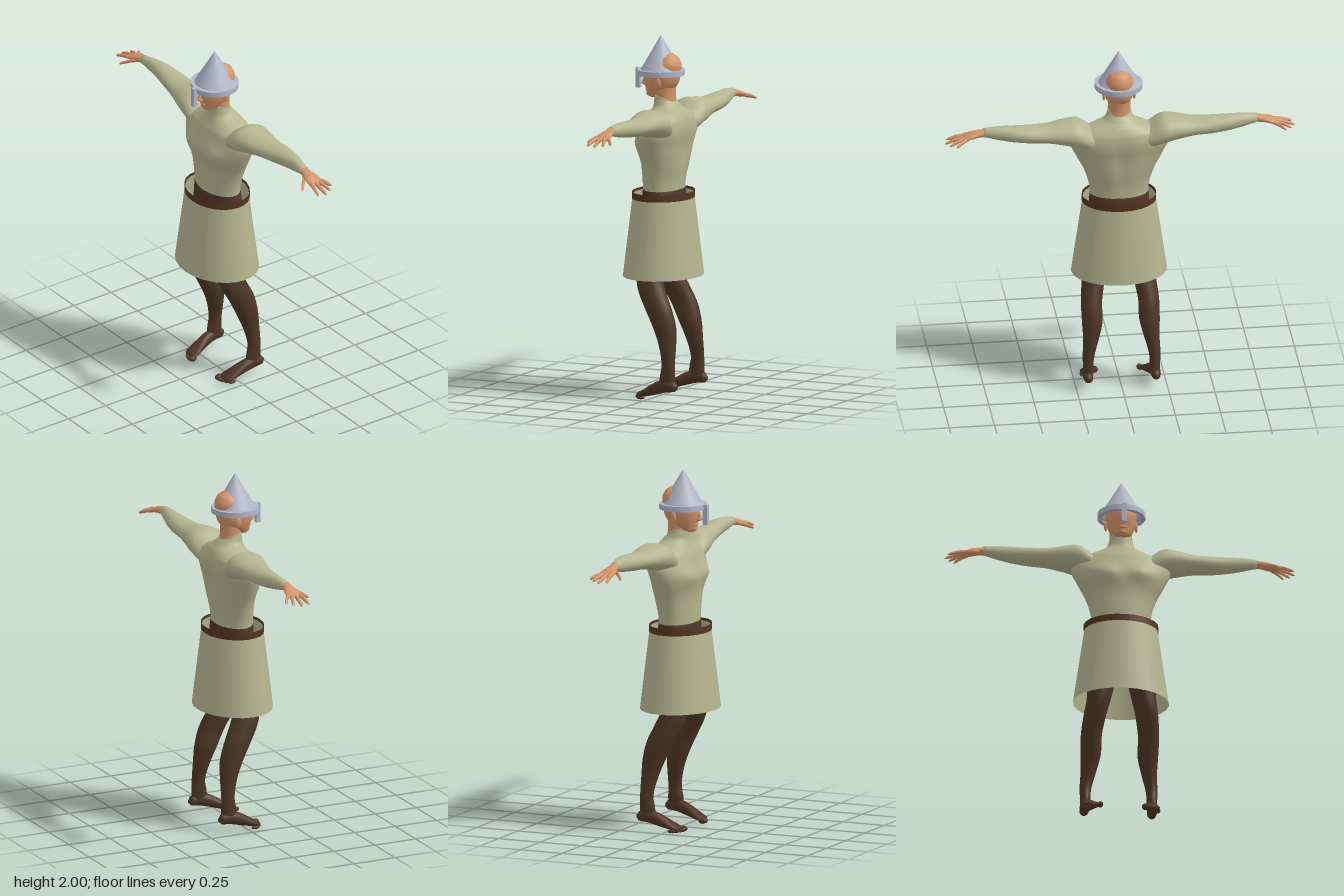
import * as THREE from 'three';

const mat = (name, color, side = THREE.FrontSide) => {
  const m = new THREE.MeshStandardMaterial({ color, side });
  m.name = name;
  return m;
};

// Smooth skin through elliptical sections along axis k (0 x, 1 y, 2 z).
// Row: [position on k, centre on next axis, centre on the one after, radius, radius]
function loft(k, rows, seg = 24, steps = 4, rule = null) {
  const pos = [], index = [];
  const count = (rows.length - 1) * steps;
  const cubic = (a, b, c, d, t) =>
    0.5 * (2 * b + (c - a) * t + (2 * a - 5 * b + 4 * c - d) * t * t + (3 * b - a - 3 * c + d) * t * t * t);
  const put = (a, b, c) => {
    const p = new THREE.Vector3();
    p.setComponent(k, a).setComponent((k + 1) % 3, b).setComponent((k + 2) % 3, c);
    if (rule) rule(p);
    pos.push(p.x, p.y, p.z);
  };
  for (let i = 0; i <= count; i++) {
    const s = Math.min(Math.floor(i / steps), rows.length - 2), t = i / steps - s;
    const at = (n) => rows[Math.max(0, Math.min(rows.length - 1, n))];
    const r = at(s).map((_, j) => cubic(at(s - 1)[j], at(s)[j], at(s + 1)[j], at(s + 2)[j], t));
    r[0] = at(s)[0] + (at(s + 1)[0] - at(s)[0]) * t;
    for (let j = 0; j < seg; j++) {
      const a = (j / seg) * Math.PI * 2;
      put(r[0], r[1] + Math.cos(a) * Math.max(r[3], 0.001), r[2] + Math.sin(a) * Math.max(r[4], 0.001));
    }
  }
  for (let i = 0; i < count; i++)
    for (let j = 0; j < seg; j++) {
      const a = i * seg + j, b = i * seg + (j + 1) % seg;
      index.push(a, b, a + seg, b, b + seg, a + seg);
    }
  // end caps
  for (const [row, ring, flip] of [[rows[0], 0, true], [rows[rows.length - 1], count * seg, false]]) {
    const c = pos.length / 3;
    put(row[0], row[1], row[2]);
    for (let j = 0; j < seg; j++) {
      const a = ring + j, b = ring + (j + 1) % seg;
      index.push(...(flip ? [c, b, a] : [c, a, b]));
    }
  }
  const g = new THREE.BufferGeometry();
  g.setAttribute('position', new THREE.Float32BufferAttribute(pos, 3));
  g.setIndex(index);
  g.computeVertexNormals();
  return g;
}

// Mirror image across x = 0 with corners reordered
function mirrored(geo) {
  const g = geo.clone().scale(-1, 1, 1);
  const ix = g.index.array;
  for (let i = 0; i < ix.length; i += 3) [ix[i], ix[i + 1]] = [ix[i + 1], ix[i]];
  g.computeVertexNormals();
  return g;
}

const ball = (x, y, z, rx, ry, rz) =>
  new THREE.SphereGeometry(1, 14, 10).scale(rx, ry, rz).translate(x, y, z);
const bump = (v, centre, width) => Math.exp(-(((v - centre) / width) ** 2));

export function createModel() {
  const cloth = mat('olive cloth', 0xb4b58f);
  const clothOpen = mat('olive skirt cloth', 0xb4b58f, THREE.DoubleSide);
  const skin = mat('skin', 0xd3946a);
  const hose = mat('brown hose', 0x4e3627);
  const leather = mat('belt leather', 0x56341f, THREE.DoubleSide);
  const steel = mat('steel', 0xb2b7c8, THREE.DoubleSide);

  const model = new THREE.Group();
  const add = (name, geo, material) => {
    const m = new THREE.Mesh(geo, material);
    m.name = name;
    model.add(m);
  };
  const pair = (name, geo, material) => {
    add('left' + name, geo, material);
    add('right' + name, mirrored(geo), material);
  };

  // Tunic body with chest, spine groove and slanting collar
  add('tunicBody', loft(1, [
    [1.11, -0.005, 0, 0.1, 0.16], [1.2, -0.005, 0, 0.105, 0.166], [1.3, -0.012, 0, 0.115, 0.195],
    [1.4, -0.012, 0, 0.126, 0.245], [1.48, -0.025, 0, 0.124, 0.275], [1.54, -0.03, 0, 0.112, 0.24],
    [1.58, -0.03, 0, 0.092, 0.15], [1.61, -0.022, 0, 0.073, 0.085], [1.65, -0.012, 0, 0.06, 0.067],
    [1.67, -0.01, 0, 0.058, 0.064],
  ], 40, 5, (p) => {
    if (p.z > 0) p.z += 0.022 * bump(Math.abs(p.x), 0.1, 0.07) * bump(p.y, 1.42, 0.05);
    else p.z += 0.014 * bump(p.x, 0, 0.035) * bump(p.y, 1.38, 0.14);
    if (p.y > 1.62) p.y += (p.z - 0.02) * (p.y - 1.62) * 5;
  }), cloth);

  // Sleeves, from the deltoid to the wrist
  pair('Sleeve', loft(0, [
    [0.09, 1.5, -0.03, 0.04, 0.07], [0.16, 1.505, -0.035, 0.065, 0.1], [0.23, 1.54, -0.042, 0.08, 0.112],
    [0.3, 1.55, -0.045, 0.069, 0.102], [0.4, 1.553, -0.052, 0.051, 0.08], [0.5, 1.558, -0.06, 0.048, 0.067],
    [0.6, 1.566, -0.062, 0.045, 0.05], [0.68, 1.572, -0.055, 0.038, 0.036], [0.755, 1.575, -0.047, 0.026, 0.026],
  ]), cloth);

  // Hands
  pair('Palm', loft(0, [
    [0.73, 1.575, -0.047, 0.023, 0.024], [0.78, 1.57, -0.046, 0.021, 0.029], [0.83, 1.56, -0.046, 0.017, 0.042],
    [0.865, 1.549, -0.048, 0.012, 0.042], [0.88, 1.545, -0.048, 0.003, 0.03],
  ], 16), skin);
  const fingers = {
    Thumb: [0.78, -0.03, 0.865, 0.042, 1.562, 1.525],
    IndexFinger: [0.85, -0.018, 0.957, -0.003, 1.552, 1.522],
    MiddleFinger: [0.855, -0.042, 0.968, -0.048, 1.552, 1.518],
    RingFinger: [0.85, -0.062, 0.945, -0.09, 1.552, 1.522],
    LittleFinger: [0.84, -0.075, 0.913, -0.122, 1.553, 1.526],
  };
  for (const [name, [x0, z0, x1, z1, y0, y1]] of Object.entries(fingers)) {
    const row = (t, lift, r) => [x0 + (x1 - x0) * t, y0 + (y1 - y0) * t + lift, z0 + (z1 - z0) * t, r, r];
    pair(name, loft(0, [row(0, 0, 0.011), row(0.5, 0.005, 0.0105), row(0.88, 0.002, 0.008), row(1, 0, 0.001)], 8, 3), skin);
  }

  // Neck, head and face
  add('neck', loft(1, [[1.58, -0.025, 0, 0.056, 0.06], [1.66, -0.013, 0, 0.056, 0.061], [1.75, -0.008, 0, 0.065, 0.062]]), skin);
  add('head', loft(1, [
    [1.655, 0.062, 0, 0.022, 0.022], [1.665, 0.048, 0, 0.048, 0.042], [1.7, 0.022, 0, 0.08, 0.064],
    [1.74, 0.012, 0, 0.1, 0.079], [1.79, 0.008, 0, 0.106, 0.085], [1.84, -0.012, 0, 0.09, 0.08],
    [1.88, -0.028, 0, 0.056, 0.055], [1.9, -0.03, 0, 0.025, 0.025], [1.905, -0.03, 0, 0.001, 0.001],
  ], 32), skin);
  add('nose', loft(1, [
    [1.715, 0.105, 0, 0.006, 0.012], [1.724, 0.11, 0, 0.022, 0.017], [1.735, 0.11, 0, 0.021, 0.012],
    [1.775, 0.105, 0, 0.012, 0.009],
  ], 12), skin);
  add('lips', ball(0, 1.696, 0.096, 0.024, 0.009, 0.01), skin);
  add('chin', ball(0, 1.67, 0.08, 0.024, 0.014, 0.02), skin);
  pair('Ear', ball(0.084, 1.742, -0.005, 0.009, 0.03, 0.018).rotateZ(0), skin);

  // Conical helmet with rim band and nose guard
  const cz = 0.016;
  add('helmetCone', new THREE.ConeGeometry(0.113, 0.195, 32, 1, true).translate(0, 1.9025, cz), steel);
  const rim = [[0.108, 1.78], [0.132, 1.78], [0.132, 1.81], [0.108, 1.81]];
  rim.slice(0, 3).forEach((a, i) => {
    const profile = [a, rim[i + 1]].map(([x, y]) => new THREE.Vector2(x, y));
    add(['rimUnderside', 'rimBand', 'rimTop'][i], new THREE.LatheGeometry(profile, 32).translate(0, 0, cz), steel);
  });
  add('noseGuard', new THREE.BoxGeometry(0.026, 0.11, 0.026).translate(0, 1.755, 0.153), steel);

  // Open flared skirt and belt
  const tube = (top, bottom, y0, y1) =>
    new THREE.CylinderGeometry(top, bottom, y1 - y0, 24, 1, true).scale(1, 1, 0.8).translate(0, (y0 + y1) / 2, 0);
  add('skirt', tube(0.2, 0.265, 0.67, 1.125), clothOpen);
  add('belt', tube(0.206, 0.206, 1.1, 1.138), leather);

  // Hips and legs
  add('hips', loft(1, [
    [0.84, 0, 0, 0.03, 0.05], [0.9, 0, 0, 0.085, 0.13], [1.0, -0.005, 0, 0.112, 0.168],
    [1.1, -0.005, 0, 0.108, 0.166], [1.15, -0.004, 0, 0.103, 0.162], [1.17, -0.004, 0, 0.09, 0.15],
  ], 32), hose);
  pair('Leg', loft(1, [
    [0.07, -0.115, 0.186, 0.04, 0.026], [0.12, -0.113, 0.184, 0.045, 0.028], [0.2, -0.118, 0.183, 0.038, 0.032],
    [0.3, -0.107, 0.168, 0.048, 0.043], [0.4, -0.085, 0.158, 0.065, 0.057], [0.5, -0.048, 0.158, 0.077, 0.058],
    [0.6, 0, 0.143, 0.08, 0.062], [0.67, 0.022, 0.127, 0.075, 0.066], [0.8, 0.02, 0.108, 0.085, 0.076],
    [0.95, 0, 0.09, 0.09, 0.076], [1.03, 0, 0.08, 0.06, 0.05],
  ]), hose);

  // Feet with raised heels, toes stepping back toward the outside
  pair('Foot', loft(2, [
    [-0.176, 0.187, 0.08, 0.008, 0.01], [-0.16, 0.187, 0.082, 0.024, 0.027], [-0.11, 0.186, 0.085, 0.029, 0.036],
    [-0.05, 0.18, 0.07, 0.032, 0.036], [0, 0.172, 0.05, 0.039, 0.029], [0.045, 0.164, 0.032, 0.046, 0.019],
    [0.068, 0.161, 0.026, 0.04, 0.012], [0.076, 0.161, 0.025, 0.025, 0.004],
  ]), hose);
  for (let i = 0; i < 5; i++) {
    const r = i === 0 ? 0.016 : 0.0125 - i * 0.0008;
    pair('Toe' + (i + 1), ball(0.123 + i * 0.02, r + 0.003, 0.076 - i * i * 0.0022, r, r, 0.024), hose);
  }
  return model;
}
